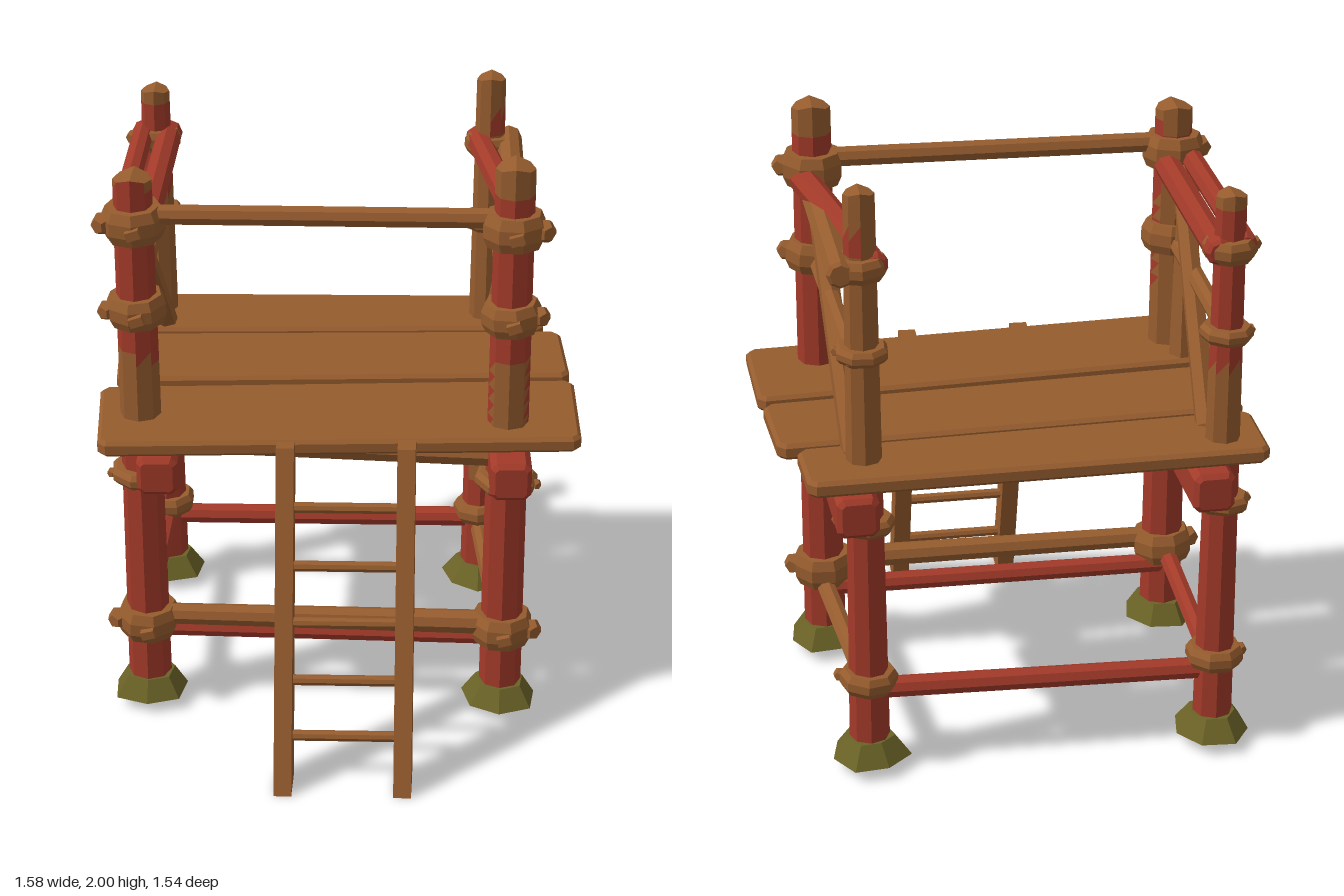
import * as THREE from 'three';

const mat = (name, color) => {
  const m = new THREE.MeshStandardMaterial({ color, flatShading: true });
  m.name = name;
  return m;
};
const V = (x, y, z) => new THREE.Vector3(x, y, z);

export function createModel() {
  const root = new THREE.Group();
  const wood = mat('wood', 0x965c2e);
  const red = mat('red paint', 0xa23a29);
  const moss = mat('moss', 0x6a6226);

  let seed = 7;
  const rnd = () => ((seed = (seed * 16807) % 2147483647) / 2147483647) - 0.5;

  const add = (name, geo, material, parent = root) => {
    const m = new THREE.Mesh(geo, material);
    m.name = name;
    parent.add(m);
    return m;
  };

  // Round log between two points, with softened ends
  const log = (name, material, a, b, r0, r1 = r0, sides = 8) => {
    const len = a.distanceTo(b), e = Math.min(0.012, r0 / 3);
    const geo = new THREE.LatheGeometry([
      new THREE.Vector2(0, -len / 2), new THREE.Vector2(r0 * 0.75, -len / 2), new THREE.Vector2(r0, -len / 2 + e),
      new THREE.Vector2(r1, len / 2 - e), new THREE.Vector2(r1 * 0.75, len / 2), new THREE.Vector2(0, len / 2),
    ], sides);
    const m = add(name, geo, material);
    m.position.copy(a).add(b).multiplyScalar(0.5);
    m.quaternion.setFromUnitVectors(V(0, 1, 0), b.clone().sub(a).normalize());
    return m;
  };

  // Post whose facets are painted red or left bare by a rule of height and side
  const post = (p) => {
    const base = 0.05, h = p.top - base, rows = 38;
    const geo = new THREE.CylinderGeometry(p.r1, p.r0, h, 8, rows).toNonIndexed();
    geo.translate(0, base + h / 2, 0);
    const pos = geo.attributes.position;
    geo.clearGroups();
    for (let i = 0; i < pos.count; i += 3) {
      let x = 0, y = 0, z = 0;
      for (let k = 0; k < 3; k++) { x += pos.getX(i + k) / 3; y += pos.getY(i + k) / 3; z += pos.getZ(i + k) / 3; }
      geo.addGroup(i, 3, p.bare(y, x, z) ? 0 : 1);
    }
    for (let i = 0; i < pos.count; i++) {
      // lopsided, tapered tip
      if (pos.getY(i) > p.top - 0.03) {
        pos.setY(i, pos.getY(i) - Math.abs(pos.getX(i)) * 0.3);
      }
    }
    add('post', geo, [wood, red]).position.set(p.x, 0, p.z);

    // Mossy foot
    const foot = new THREE.CylinderGeometry(p.r0 + 0.012, 0.128, 0.07, 7, 1);
    const f = foot.attributes.position;
    for (let i = 0; i < f.count; i++) {
      const a = Math.atan2(f.getZ(i), f.getX(i)), s = 1 + 0.07 * Math.sin(a * 3 + p.x * 9);
      f.setX(i, f.getX(i) * s);
      f.setZ(i, f.getZ(i) * s);
    }
    add('mossyFoot', foot, moss).position.set(p.x, 0.075, p.z);

    // Rope bindings
    for (const [y, hh, w] of p.wraps) {
      const g = new THREE.Group();
      g.name = 'binding';
      const prof = [[p.r0 - 0.03, -0.5], [w * 0.86, -0.5], [w, -0.2], [w, 0.2], [w * 0.86, 0.5], [p.r0 - 0.03, 0.5]]
        .map(([r, t]) => new THREE.Vector2(r, t * hh));
      add('ropeBand', new THREE.LatheGeometry(prof, 8, rnd()), wood, g);
      const knot = add('knot', new THREE.DodecahedronGeometry(hh * 0.36), wood, g);
      knot.position.set(Math.sign(p.x) * w * 0.92, 0, w * 0.2);
      if (p.z > 0 && hh > 0.08) {
        const tie = add('knotEnd', new THREE.BoxGeometry(0.045, 0.03, 0.03), wood, g);
        tie.position.set(0.01, 0, w);
        tie.rotation.z = 0.3;
      }
      g.position.set(p.x, y, p.z);
      g.rotation.set(rnd() * 0.12, 0, rnd() * 0.14);
      root.add(g);
    }
  };

  const frontWraps = [[0.32, 0.11, 0.105], [0.885, 0.055, 0.105], [1.48, 0.1, 0.098], [1.78, 0.11, 0.102]];
  const backWraps = [[0.32, 0.07, 0.095], [0.88, 0.05, 0.095], [1.46, 0.05, 0.085], [1.74, 0.07, 0.085]];
  [
    { x: -0.64, z: 0.2, top: 1.94, r0: 0.073, r1: 0.062, wraps: frontWraps,
      bare: (y, x, z) => y > 1.85 + z * 0.8 + 0.04 || (y > 1.06 && y < 1.32 - x * 0.3) || (z < -0.03 && y > 1.06 && y < 1.7) },
    { x: 0.553, z: 0.19, top: 2.0, r0: 0.071, r1: 0.063, wraps: frontWraps,
      bare: (y, x, z) => y > 1.9 || (z > 0.03 && y > 1.06 && y < 1.34) },
    { x: -0.66, z: -0.595, top: 1.92, r0: 0.066, r1: 0.048, wraps: backWraps,
      bare: (y, x, z) => y > 1.87 || (y > 1.06 && y < (z > 0 ? 1.55 : 1.36)) },
    { x: 0.472, z: -0.6, top: 1.985, r0: 0.066, r1: 0.048, wraps: backWraps,
      bare: (y, x, z) => (y > 1.06 && !(y > 1.78 && y < 1.85 && x > 0)) || (z > 0.03 && y > 0.45 && y < 0.9) },
  ].forEach(post);

  // Deck planks: corners as x, z
  const plank = (c) => {
    const pts = [];
    c.forEach(([x, z], i) => {
      const cur = new THREE.Vector2(x, -z);
      for (const j of [(i + 3) % 4, (i + 1) % 4]) {
        const d = new THREE.Vector2(c[j][0], -c[j][1]).sub(cur).setLength(0.025);
        pts.push(cur.clone().add(d));
      }
    });
    const geo = new THREE.ExtrudeGeometry(new THREE.Shape(pts), {
      depth: 0.03, bevelEnabled: true, bevelSize: 0.012, bevelOffset: -0.012, bevelThickness: 0.012, bevelSegments: 1,
    });
    geo.rotateX(-Math.PI / 2);
    add('deckPlank', geo, wood).position.y = 1.058;
  };
  plank([[-0.79, -0.405], [0.675, -0.5], [0.655, -0.76], [-0.795, -0.7]]);
  plank([[-0.75, -0.035], [0.76, -0.15], [0.73, -0.48], [-0.78, -0.38]]);
  plank([[-0.755, 0.42], [0.79, 0.3], [0.77, -0.115], [-0.795, 0.02]]);

  // Squared red beams under the deck, running front to back
  const beam = (x0, z0, x1, z1) => {
    const w = 0.066, s = new THREE.Shape(), k = 0.02, len = Math.hypot(x1 - x0, z1 - z0);
    [[-w, -w + k], [-w + k, -w], [w - k, -w], [w, -w + k], [w, w - k], [w - k, w], [-w + k, w], [-w, w - k]]
      .forEach(([x, y], i) => (i ? s.lineTo(x, y) : s.moveTo(x, y)));
    const geo = new THREE.ExtrudeGeometry(s, {
      depth: len - 0.03, bevelThickness: 0.015, bevelSize: 0.015, bevelOffset: -0.015, bevelSegments: 1,
    });
    geo.translate(0, 0, -len / 2 + 0.015);
    const m = add('deckBeam', geo, red);
    m.position.set((x0 + x1) / 2, 0.973, (z0 + z1) / 2);
    m.rotation.y = Math.atan2(x0 - x1, z0 - z1);
  };
  beam(0.568, 0.385, 0.505, -0.77);
  beam(-0.568, 0.41, -0.61, -0.745);
  log('crossLog', wood, V(-0.6, 0.985, 0.17), V(0.55, 0.97, 0.17), 0.04, 0.048);

  // Lower rails
  log('lowerRail', wood, V(-0.64, 0.338, 0.21), V(0.55, 0.335, 0.2), 0.036, 0.042);
  log('lowerRail', red, V(-0.64, 0.258, 0.16), V(0.55, 0.255, 0.15), 0.034);
  log('lowerRail', red, V(-0.66, 0.265, -0.59), V(0.47, 0.28, -0.6), 0.036);
  log('lowerRail', wood, V(0.56, 0.268, 0.2), V(0.47, 0.258, -0.58), 0.032);
  log('lowerRail', red, V(-0.65, 0.295, 0.2), V(-0.66, 0.265, -0.6), 0.032);

  // Thin ties under the beams
  log('underTie', wood, V(0.54, 0.905, 0.18), V(0.47, 0.905, -0.6), 0.025);
  log('underTie', red, V(-0.64, 0.895, 0.18), V(-0.65, 0.905, -0.6), 0.025);

  // Guard rails
  log('frontGuardRail', wood, V(-0.64, 1.805, 0.205), V(0.55, 1.81, 0.185), 0.034);
  log('sideGuardRail', red, V(0.59, 1.752, 0.16), V(0.425, 1.75, -0.64), 0.046, 0.04);
  log('sideGuardRail', wood, V(0.56, 1.725, 0.16), V(0.535, 1.738, -0.67), 0.044);
  log('sideGuardRail', red, V(-0.61, 1.745, 0.16), V(-0.62, 1.74, -0.65), 0.044);
  log('sideGuardRail', red, V(-0.69, 1.765, 0.16), V(-0.705, 1.755, -0.63), 0.036);
  log('middleRail', wood, V(0.55, 1.465, 0.2), V(0.5, 1.455, -0.66), 0.03);
  log('middleRail', wood, V(-0.65, 1.47, 0.2), V(-0.66, 1.46, -0.65), 0.03);

  // Diagonal braces
  log('brace', wood, V(0.55, 1.72, 0.13), V(0.5, 1.08, -0.55), 0.034, 0.038, 6);
  log('brace', wood, V(-0.65, 1.72, 0.1), V(-0.63, 1.08, -0.5), 0.034, 0.038, 6);
  log('steepBrace', wood, V(-0.68, 1.76, 0.12), V(-0.67, 1.08, 0.07), 0.036, 0.052, 6);

  // Leaning ladder
  const ladder = new THREE.Group();
  ladder.name = 'ladder';
  root.add(ladder);
  for (const [x0, x1, dz] of [[-0.155, -0.147, 0], [0.232, 0.242, -0.012]]) {
    const geo = new THREE.BoxGeometry(0.058, 1.095, 0.1);
    const p = geo.attributes.position;
    for (let i = 0; i < p.count; i++) {
      const low = p.getY(i) < 0, back = p.getZ(i) < 0;
      p.setXYZ(i, p.getX(i) + (low ? x1 : x0), low ? 0 : 1.095, (low ? (back ? 0.64 : 0.767) : (back ? 0.335 : 0.41)) + dz);
    }
    geo.computeVertexNormals();
    add('ladderRail', geo, wood, ladder);
  }
  for (const y of [0.165, 0.345, 0.53, 0.71, 0.895]) {
    const geo = new THREE.CylinderGeometry(0.018, 0.018, 0.38, 8).rotateZ(Math.PI / 2);
    const rung = add('ladderRung', geo, wood, ladder);
    rung.position.set(0.042, y, 0.7 - y * 0.3);
    rung.rotation.y = 0.03;
  }
  return root;
}
